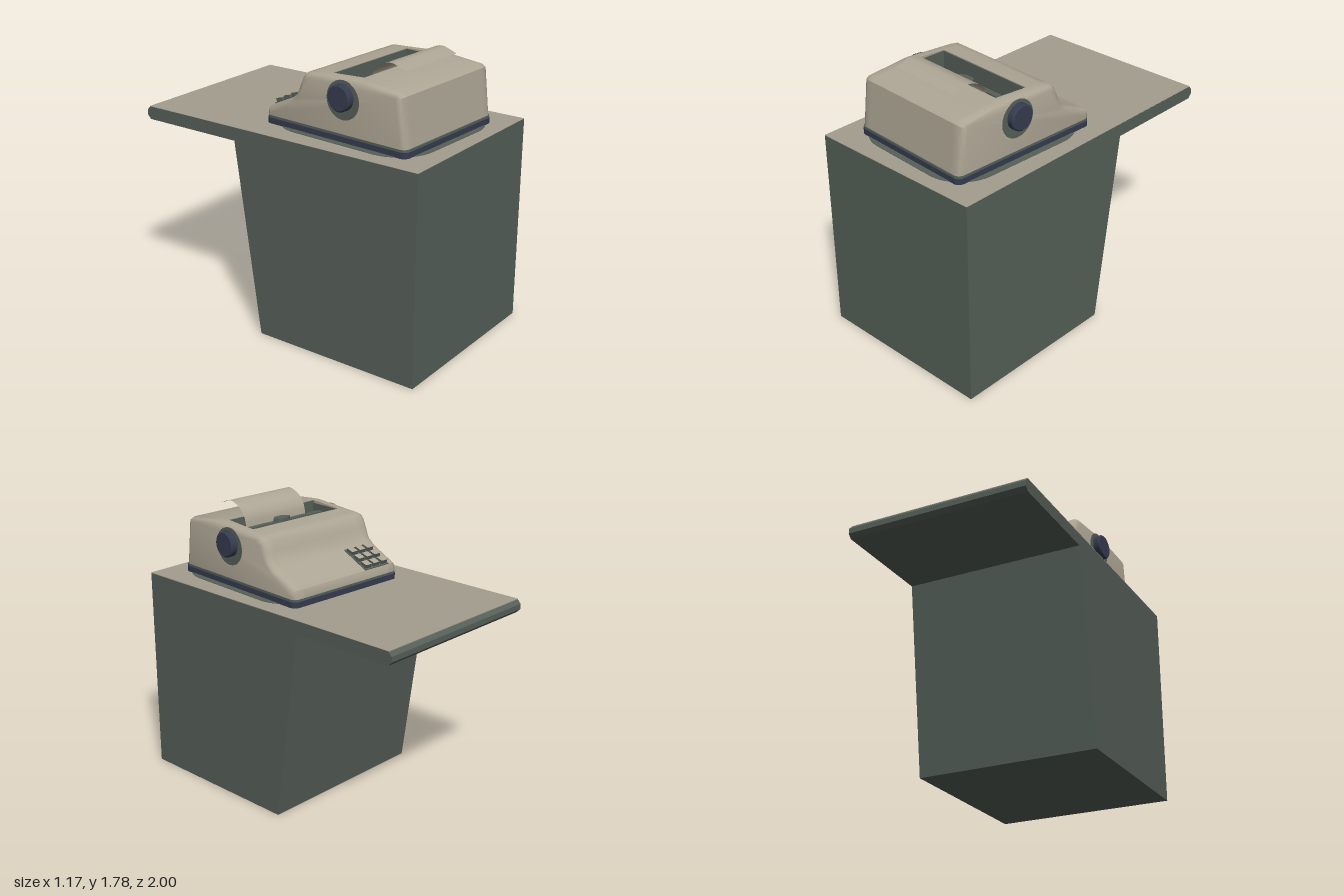
import * as THREE from 'three';
import { toCreasedNormals } from 'three/addons/utils/BufferGeometryUtils.js';

const paint = (name, color, side = THREE.FrontSide) => {
  const m = new THREE.MeshStandardMaterial({ color, side });
  m.name = name;
  return m;
};

function addMesh(parent, name, geometry, material, x = 0, y = 0, z = 0) {
  const mesh = new THREE.Mesh(geometry, material);
  mesh.name = name;
  mesh.position.set(x, y, z);
  parent.add(mesh);
  return mesh;
}

// Flat slab with rounded corners in plan, standing on y = 0
function roundedSlab(w, d, r, h) {
  const s = new THREE.Shape();
  const a = w / 2 - r, b = d / 2 - r;
  s.absarc(a, b, r, 0, Math.PI / 2);
  s.absarc(-a, b, r, Math.PI / 2, Math.PI);
  s.absarc(-a, -b, r, Math.PI, Math.PI * 1.5);
  s.absarc(a, -b, r, Math.PI * 1.5, Math.PI * 2);
  s.closePath();
  const g = new THREE.ExtrudeGeometry(s, { depth: h, bevelEnabled: false, curveSegments: 6 });
  return toCreasedNormals(g.rotateX(-Math.PI / 2), 0.6);
}

// Shrinks a counter-clockwise side profile; the two bottom corners keep their height
function inset(profile, d) {
  const n = profile.length;
  return profile.map((p, i) => {
    const edgeNormal = (a, b) => new THREE.Vector2(a[1] - b[1], b[0] - a[0]).normalize();
    const n1 = edgeNormal(profile[(i + n - 1) % n], p);
    const n2 = edgeNormal(p, profile[(i + 1) % n]);
    const k = d / (1 + n1.dot(n2));
    return [p[0] + (n1.x + n2.x) * k, i < 2 ? p[1] : p[1] + (n1.y + n2.y) * k];
  });
}

// Lofts a side profile (-z, y) through rings of [x, inset], x ascending
function loft(profile, rings, capped) {
  const n = profile.length, pos = [], index = [];
  for (const [x, d] of rings) for (const [s, y] of inset(profile, d)) pos.push(x, y, -s);
  for (let i = 0; i < rings.length - 1; i++) {
    for (let j = 0; j < n; j++) {
      const a = i * n + j, d = i * n + (j + 1) % n;
      index.push(a, d, d + n, a, d + n, a + n);
    }
  }
  if (capped) {
    const last = (rings.length - 1) * n;
    const tris = THREE.ShapeUtils.triangulateShape(profile.map(p => new THREE.Vector2(...p)), []);
    for (const [a, b, c] of tris) index.push(a, c, b, last + a, last + b, last + c);
  }
  const g = new THREE.BufferGeometry();
  g.setAttribute('position', new THREE.Float32BufferAttribute(pos, 3));
  g.setIndex(index);
  return toCreasedNormals(g, 0.7);
}

export function createModel() {
  const green = paint('dark green', 0x566059);
  const counterBeige = paint('counter beige', 0xa39d8d);
  const bodyBeige = paint('casing beige', 0xada594);
  const navy = paint('navy', 0x363c50);
  const paperPaint = paint('paper', 0xada594, THREE.DoubleSide);

  const model = new THREE.Group();
  model.name = 'typewriterOnCounter';

  // Counter block with overhanging ledge
  const side = new THREE.Shape([
    [-1, 0], [0.115, 0], [0.29, 1.225], [0.975, 1.225], [1, 1.25], [1, 1.283], [0.975, 1.308], [-1, 1.308],
  ].map(p => new THREE.Vector2(...p)));
  const block = new THREE.ExtrudeGeometry(side, { depth: 1.17, bevelEnabled: false });
  block.translate(0, 0, -0.585).rotateY(Math.PI / 2);
  addMesh(model, 'counterBlock', block, green);
  addMesh(model, 'counterTop', new THREE.BoxGeometry(1.17, 0.004, 1.978), counterBeige, 0, 1.308, 0.011);

  // Typewriter, turned slightly on the counter
  const machine = new THREE.Group();
  machine.name = 'typewriter';
  machine.position.set(0.003, 0, 0.34);
  machine.rotation.y = -0.055;
  model.add(machine);

  addMesh(machine, 'contactPatch', roundedSlab(0.94, 1.05, 0.24, 0.004), green, 0, 1.309, 0.03);
  addMesh(machine, 'base', roundedSlab(0.86, 1.036, 0.04, 0.037), navy, 0, 1.309, 0);
  addMesh(machine, 'baseSeam', roundedSlab(0.855, 1.034, 0.04, 0.014), green, 0, 1.346, 0);

  // Casing: two rounded ends and a middle with an open well
  const notched = [
    [-0.515, 1.32], [0.515, 1.32], [0.515, 1.38], [0.503, 1.412], [0.325, 1.495], [0.285, 1.53],
    [0.26, 1.59], [0.238, 1.642], [0.212, 1.668], [0.17, 1.675], [0.065, 1.681],
    [0.065, 1.56], [-0.165, 1.56], [-0.165, 1.695], [-0.45, 1.668], [-0.475, 1.65],
  ];
  const full = notched.filter(p => p[1] !== 1.56);
  const casing = new THREE.Group();
  casing.name = 'casing';
  machine.add(casing);
  const bevel = [[0.425, 0.028], [0.414, 0.009], [0.394, 0], [0.35, 0]];
  addMesh(casing, 'casingRight', loft(full, bevel.map(([x, d]) => [-x, d]), true), bodyBeige);
  addMesh(casing, 'casingLeft', loft(full, [...bevel].reverse(), true), bodyBeige);
  addMesh(casing, 'casingMiddle', loft(notched, [[-0.35, 0], [0.35, 0]], false), bodyBeige);

  // Dark lining of the well
  const lining = new THREE.Group();
  lining.name = 'wellLining';
  machine.add(lining);
  addMesh(lining, 'wellFloor', new THREE.BoxGeometry(0.7, 0.006, 0.23), green, 0, 1.563, 0.05);
  addMesh(lining, 'wellFrontWall', new THREE.BoxGeometry(0.7, 0.116, 0.006), green, 0, 1.619, -0.062);
  addMesh(lining, 'wellBackWall', new THREE.BoxGeometry(0.7, 0.13, 0.006), green, 0, 1.626, 0.162);
  for (const s of [-1, 1]) {
    addMesh(lining, 'wellEndWall', new THREE.BoxGeometry(0.006, 0.116, 0.23), green, s * 0.347, 1.619, 0.05);
  }

  // Roller, paper bar and its centre block
  const roller = new THREE.CylinderGeometry(0.034, 0.034, 0.69, 16).rotateZ(Math.PI / 2);
  addMesh(machine, 'roller', roller, green, 0, 1.6, 0.12);
  addMesh(machine, 'paperBar', new THREE.BoxGeometry(0.66, 0.02, 0.03), green, 0, 1.635, 0.07);
  const hub = new THREE.CylinderGeometry(0.06, 0.065, 0.04, 6).rotateY(Math.PI / 6).scale(1.1, 1, 0.6);
  addMesh(machine, 'barBlock', hub, green, 0, 1.645, 0.075);

  // Curled sheet of paper
  const curl = new THREE.CatmullRomCurve3([
    [1.62, 0.125], [1.69, 0.14], [1.742, 0.18], [1.776, 0.265], [1.764, 0.32], [1.745, 0.372],
  ].map(([y, z]) => new THREE.Vector3(0, y, z)));
  const sheet = new THREE.PlaneGeometry(0.49, 1, 1, 16);
  for (let i = 0; i < sheet.attributes.position.count; i++) {
    const p = curl.getPoint(sheet.attributes.uv.getY(i));
    sheet.attributes.position.setY(i, p.y);
    sheet.attributes.position.setZ(i, p.z);
  }
  sheet.computeVertexNormals();
  addMesh(machine, 'paper', sheet, paperPaint);

  // Side knobs with dark surrounds
  for (const s of [-1, 1]) {
    const surround = new THREE.CylinderGeometry(0.117, 0.117, 0.006, 28).rotateZ(Math.PI / 2);
    addMesh(machine, 'knobSurround', surround, green, s * 0.424, 1.562, 0.07);
    const profile = [[0, -0.03], [0.08, -0.03], [0.08, 0.022], [0.072, 0.03], [0, 0.03]];
    const knob = new THREE.LatheGeometry(profile.map(p => new THREE.Vector2(...p)), 20);
    knob.rotateZ(-s * Math.PI / 2);
    addMesh(machine, 'knob', toCreasedNormals(knob, 0.6), navy, s * 0.44, 1.58, 0.07);
  }

  // Keypad on the sloping front
  const keypad = new THREE.Group();
  keypad.name = 'keypad';
  keypad.position.set(-0.262, 1.456, -0.41);
  keypad.rotation.x = -0.436;
  machine.add(keypad);
  addMesh(keypad, 'keypadPlate', new THREE.BoxGeometry(0.2, 0.008, 0.205), green);
  const capFaces = [green, green, bodyBeige, green, green, green];
  for (let r = -1; r <= 1; r++) {
    for (let c = -1; c <= 1; c++) {
      const key = addMesh(keypad, 'key', new THREE.BoxGeometry(0.048, 0.024, 0.048), capFaces, c * 0.067, 0.012, r * 0.067);
      key.rotation.x = 0.15;
    }
  }
  return model;
}
